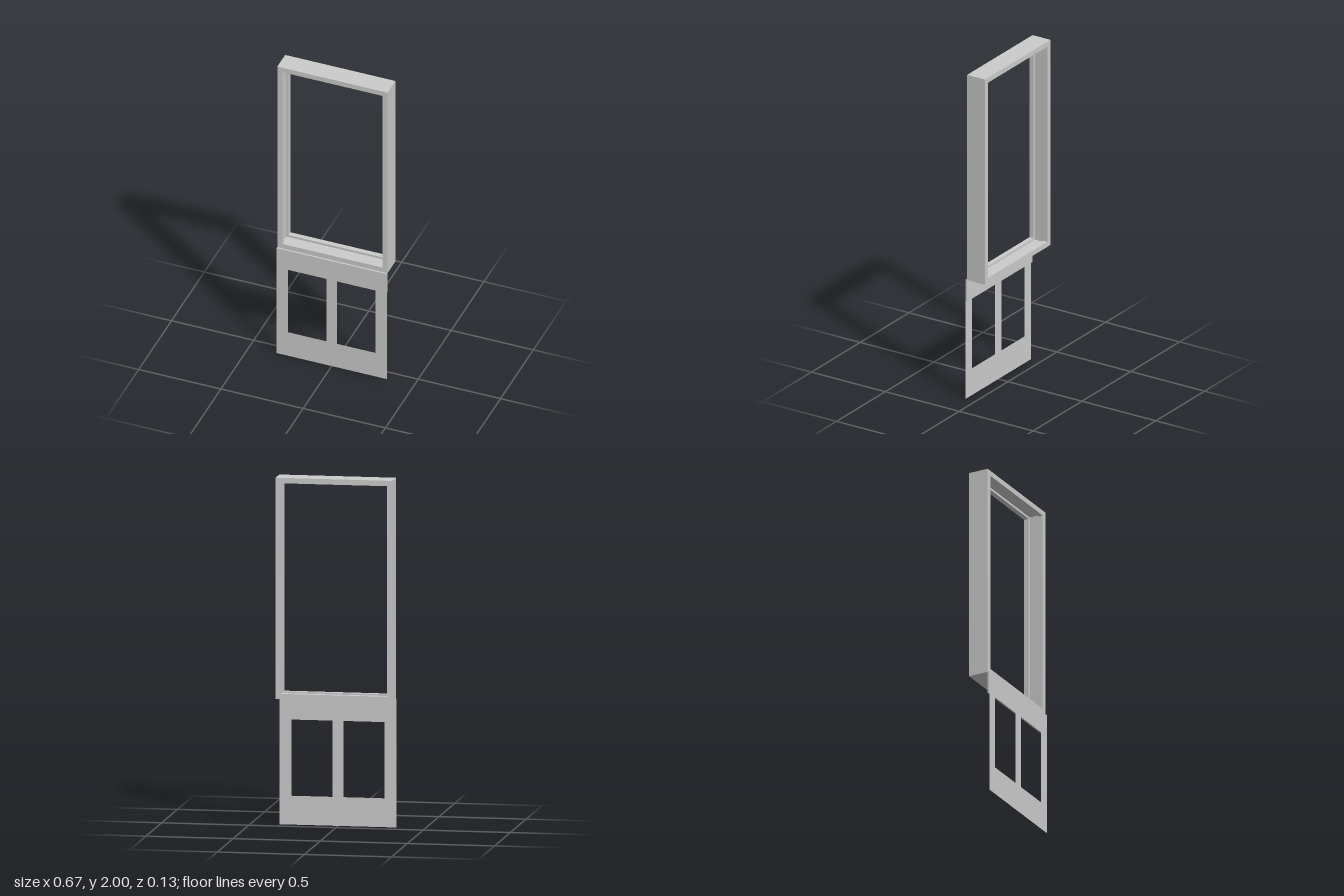
import * as THREE from 'three';

const HALF_W = 0.335, SILL = 0.735, TOP = 2;
const FRONT = 0.0655, BACK = -0.0655, FRAME_FRONT = 0.055;

// Sweeps a closed [inset, z] profile around a rectangle with mitred corners
function mitredFrame(halfW, bottom, top, profile) {
  const midY = (bottom + top) / 2, halfH = (top - bottom) / 2;
  const corners = [[-1, -1], [1, -1], [1, 1], [-1, 1]];
  const point = (k, i) => {
    const [sx, sy] = corners[k % 4];
    const [inset, z] = profile[i % profile.length];
    return [sx * (halfW - inset), midY + sy * (halfH - inset), z];
  };
  const positions = [];
  for (let k = 0; k < 4; k++) {
    for (let i = 0; i < profile.length; i++) {
      const a = point(k, i), b = point(k + 1, i), c = point(k + 1, i + 1), d = point(k, i + 1);
      positions.push(...a, ...b, ...c, ...a, ...c, ...d);
    }
  }
  const geometry = new THREE.BufferGeometry();
  geometry.setAttribute('position', new THREE.Float32BufferAttribute(positions, 3));
  geometry.computeVertexNormals();
  return geometry;
}

function rectangle(Type, x0, y0, x1, y1) {
  const path = new Type();
  path.moveTo(x0, y0);
  path.lineTo(x1, y0);
  path.lineTo(x1, y1);
  path.lineTo(x0, y1);
  path.closePath();
  return path;
}

export function createModel() {
  const group = new THREE.Group();
  const material = new THREE.MeshStandardMaterial({ color: 0xcccccc });
  const sheetMaterial = new THREE.MeshStandardMaterial({ color: 0xcccccc, side: THREE.DoubleSide });
  const add = (name, geometry, mat = material) => {
    const mesh = new THREE.Mesh(geometry, mat);
    mesh.name = name;
    group.add(mesh);
    return mesh;
  };

  // Window frame: front and back lips with a channel between them
  const lip = 0.031, channel = 0.017;
  add('windowFrame', mitredFrame(HALF_W, SILL, TOP, [
    [0, FRAME_FRONT], [lip, FRAME_FRONT], [lip, 0.027], [channel, 0.027],
    [channel, -0.036], [lip, -0.036], [lip, BACK], [0, BACK],
  ]));

  // Apron board under the sill, just behind the panel face
  const apronBottom = 0.602, apronBack = FRAME_FRONT, apronFront = FRONT - 0.0005;
  const apron = add('apronBoard', new THREE.BoxGeometry(
    HALF_W * 2, SILL - apronBottom, apronFront - apronBack));
  apron.position.set(0, (SILL + apronBottom) / 2, (apronFront + apronBack) / 2);

  // Thin lower panel with two openings
  const panel = rectangle(THREE.Shape, -HALF_W, 0, HALF_W, SILL);
  for (const side of [-1, 1]) {
    panel.holes.push(rectangle(THREE.Path, side * 0.032, 0.165, side * 0.267, 0.602));
  }
  add('lowerPanel', new THREE.ShapeGeometry(panel), sheetMaterial).position.z = FRONT;

  return group;
}
